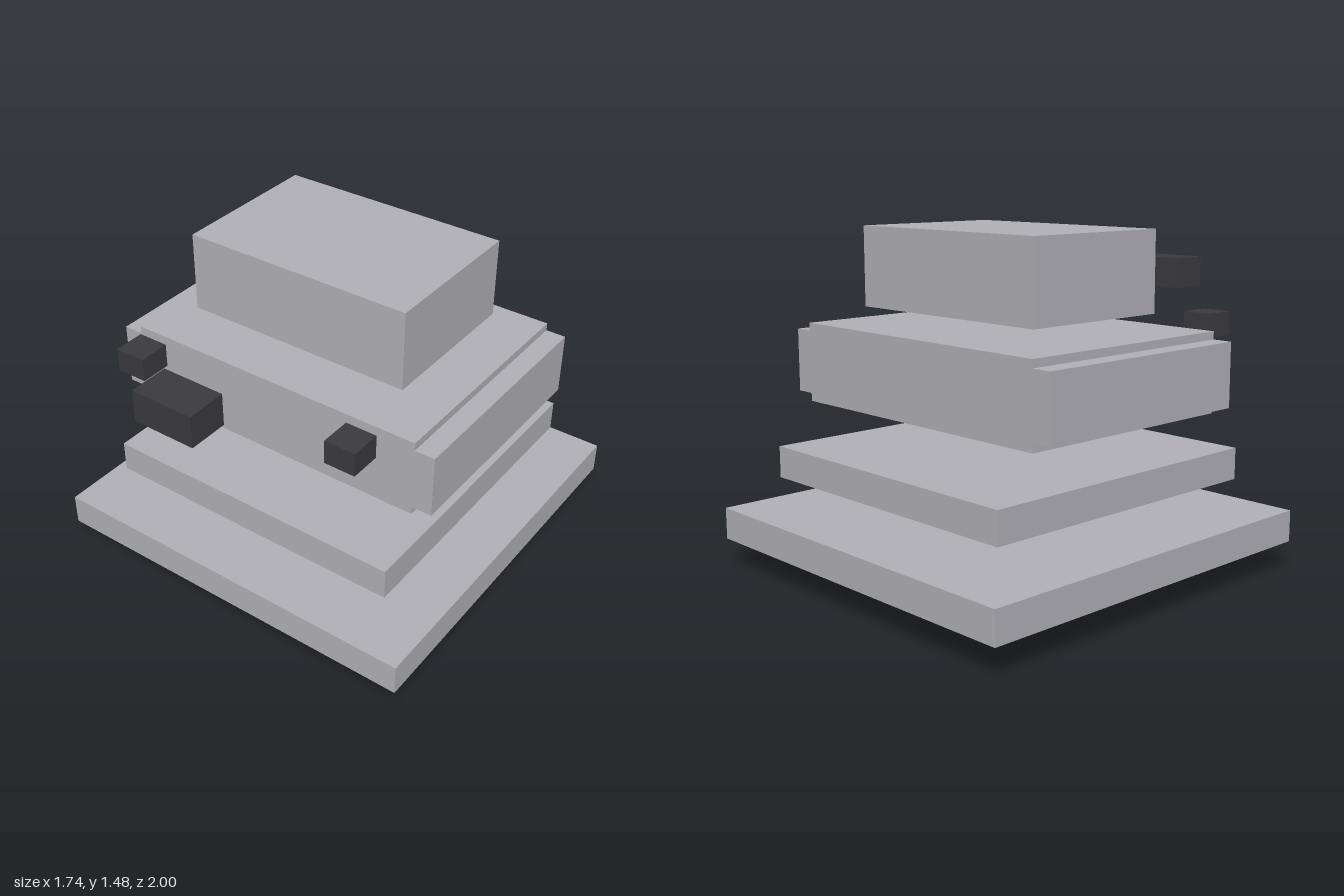
import * as THREE from 'three';

export function createModel() {
  const model = new THREE.Group();
  model.name = 'blockFigure';

  const material = (name, color) => {
    const m = new THREE.MeshStandardMaterial({ color });
    m.name = name;
    return m;
  };
  const grey = material('light grey', 0xb0b0b7);
  const dark = material('charcoal', 0x3b3a3f);
  const green = material('green', 0x427a50);

  // Box given by its lower and upper limits on each axis
  const block = (name, mat, [x0, x1], [y0, y1], [z0, z1]) => {
    const mesh = new THREE.Mesh(new THREE.BoxGeometry(x1 - x0, y1 - y0, z1 - z0), mat);
    mesh.position.set((x0 + x1) / 2, (y0 + y1) / 2, (z0 + z1) / 2);
    mesh.name = name;
    model.add(mesh);
  };

  // Stacked base
  block('foot', grey, [-0.52, 0.52], [0, 0.075], [-0.652, 0.39]);
  block('greenPlate', green, [-0.694, 0.694], [0.075, 0.126], [-0.826, 0.564]);
  block('basePlate', grey, [-0.868, 0.868], [0.126, 0.265], [-1, 0.737]);
  block('spacer', dark, [-0.26, 0.26], [0.284, 0.387], [-0.39, 0.13]);
  block('upperPlate', grey, [-0.694, 0.694], [0.404, 0.542], [-0.826, 0.564]);

  // Body: one extrusion with notched corners
  const w = 0.783, n = 0.694, y0 = 0.718, y1 = 0.753, y2 = 1.029, y3 = 1.063;
  const outline = new THREE.Shape([
    [-n, y0], [n, y0], [n, y1], [w, y1], [w, y2], [n, y2],
    [n, y3], [-n, y3], [-n, y2], [-w, y2], [-w, y1], [-n, y1],
  ].map(([x, y]) => new THREE.Vector2(x, y)));
  const body = new THREE.Mesh(
    new THREE.ExtrudeGeometry(outline, { depth: 1.042, bevelEnabled: false }), grey);
  body.position.z = -0.652;
  body.name = 'body';
  model.add(body);

  // Top block and the floating dark blocks in front
  block('topBlock', grey, [-0.52, 0.52], [1.135, 1.482], [-0.478, 0.216]);
  block('frontBlock', dark, [-0.139, 0.139], [1.169, 1.307], [0.826, 1]);
  block('leftBlock', dark, [0.452, 0.59], [1.014, 1.117], [0.494, 0.633]);
  block('rightBlock', dark, [-0.59, -0.452], [1.014, 1.117], [0.494, 0.633]);

  return model;
}
